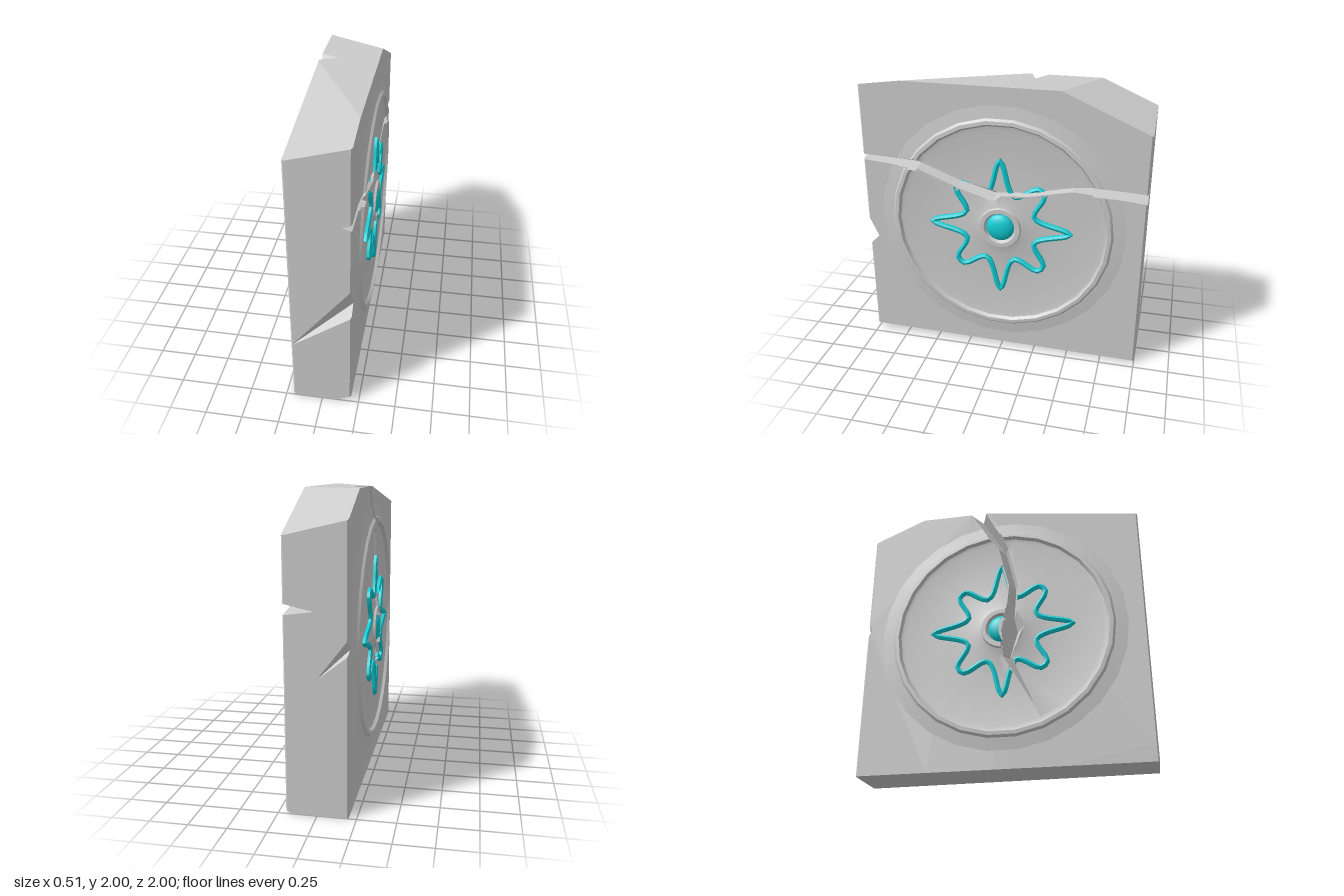
import * as THREE from 'three';
import { toCreasedNormals } from 'three/addons/utils/BufferGeometryUtils.js';

const V = (x, y, z) => new THREE.Vector3(x, y, z);
const stone = new THREE.MeshStandardMaterial({ color: 0xcccccc, side: THREE.DoubleSide });
const teal = new THREE.MeshStandardMaterial({ color: 0x10ced6, side: THREE.DoubleSide });

// ---- small polygon tools: planes point outward from the convex region they bound ----
function planeThrough(a, b, c, inside) {
  const p = new THREE.Plane().setFromCoplanarPoints(a, b, c);
  return p.distanceToPoint(inside) > 0 ? p.negate() : p;
}
const axisPlane = (nx, ny, nz, d) => new THREE.Plane(V(nx, ny, nz), -d);

function split(poly, plane) {
  const out = [], inn = [];
  poly.forEach((a, i) => {
    const b = poly[(i + 1) % poly.length];
    const da = plane.distanceToPoint(a), db = plane.distanceToPoint(b);
    if (da >= -1e-6) out.push(a);
    if (da <= 1e-6) inn.push(a);
    if ((da > 1e-6 && db < -1e-6) || (da < -1e-6 && db > 1e-6)) {
      const m = a.clone().lerp(b, da / (da - db));
      out.push(m);
      inn.push(m);
    }
  });
  return [out, inn];
}

function keepInside(poly, planes) {
  for (const p of planes) {
    poly = split(poly, p)[1];
    if (poly.length < 3) return [];
  }
  return poly;
}

// Face of a convex region lying on one of its planes
function faceOn(plane, bounds) {
  const n = plane.normal;
  const u = V(0, 1, 0).cross(n);
  if (u.length() < 0.1) u.set(1, 0, 0).cross(n);
  u.normalize();
  const v = n.clone().cross(u), o = plane.coplanarPoint(V());
  const quad = [[-5, -5], [5, -5], [5, 5], [-5, 5]]
    .map(([i, j]) => o.clone().addScaledVector(u, i).addScaledVector(v, j));
  return keepInside(quad, bounds.filter((b) => b !== plane));
}

// Cut a convex cell out of a set of polygons
function subtract(polys, cell) {
  const result = [];
  for (const poly of polys) {
    if (keepInside(poly, cell).length < 3) { result.push(poly); continue; }
    let rest = poly;
    for (const p of cell) {
      const [out, inn] = split(rest, p);
      if (out.length > 2) result.push(out);
      rest = inn;
      if (rest.length < 3) break;
    }
  }
  return result;
}

function toPolys(geometry) {
  const pos = (geometry.index ? geometry.toNonIndexed() : geometry).attributes.position;
  const polys = [];
  for (let i = 0; i < pos.count; i += 3) {
    polys.push([0, 1, 2].map((k) => V().fromBufferAttribute(pos, i + k)));
  }
  return polys;
}

function polyMesh(name, polys, material, crease) {
  const pts = [];
  for (const p of polys) {
    for (let i = 1; i < p.length - 1; i++) {
      const area = p[i].clone().sub(p[0]).cross(p[i + 1].clone().sub(p[0])).length();
      if (area > 1e-10) pts.push(p[0], p[i], p[i + 1]);
    }
  }
  const g = toCreasedNormals(new THREE.BufferGeometry().setFromPoints(pts), crease);
  const mesh = new THREE.Mesh(g, material);
  mesh.name = name;
  return mesh;
}

// ---- relief profile: radius, height from the slab's middle plane, outer rim to centre ----
const PROFILE = [[0.88, 0.201], [0.795, 0.212], [0.78, 0.228], [0.755, 0.23], [0.74, 0.208], [0.71, 0.202],
  [0.4, 0.202], [0.21, 0.205], [0.152, 0.22], [0.145, 0.235], [0.115, 0.235], [0.1, 0.21], [0.001, 0.21]];

function reliefHeight(r) {
  if (r < 0.1) return 0.21 + 0.046 * Math.sqrt(1 - (r / 0.1) ** 2);
  for (let i = 1; i < PROFILE.length; i++) {
    const [r0, h0] = PROFILE[i - 1], [r1, h1] = PROFILE[i];
    if (r <= r0 && r >= r1) return h0 + (h1 - h0) * (r0 - r) / (r0 - r1);
  }
  return 0.2;
}

// V-shaped crack: sections are [position along, lip, other lip, depth]
function crackCells(side, sections, toPoint) {
  const cells = [], steps = 6;
  const at = (i, f) => sections[i].map((v, k) => v + (sections[i + 1][k] - v) * f);
  const build = ([t, a, b, d]) => ({
    a: toPoint(side * 0.2, t, a), b: toPoint(side * 0.2, t, b),
    tip: toPoint(side * (0.2 - d), t, a + (b - a) * 0.6),
  });
  for (let i = 0; i < sections.length - 1; i++) {
    for (let s = 0; s < steps; s++) {
      const p = at(i, s / steps), q = at(i, (s + 1) / steps);
      const A = build(p), B = build(q);
      const mid = A.a.clone().add(A.b).add(B.a).add(B.b).multiplyScalar(0.25);
      const along = toPoint(0, 1, 0).sub(toPoint(0, 0, 0)).multiplyScalar(Math.sign(q[0] - p[0]));
      const planes = [
        planeThrough(A.a, B.a, A.tip, mid), planeThrough(A.b, B.b, A.tip, mid),
        new THREE.Plane().setFromNormalAndCoplanarPoint(along.clone().negate(), A.a),
        new THREE.Plane().setFromNormalAndCoplanarPoint(along, B.a),
      ];
      const top = axisPlane(side, 0, 0, reliefHeight(Math.hypot(mid.y - 1, mid.z)));
      cells.push({ planes, top });
    }
  }
  return cells;
}

function starGeometry() {
  const pts = [];
  for (let i = 0; i < 8; i++) {
    const polar = (r, deg) => {
      const a = (i * 45 + deg) * Math.PI / 180;
      pts.push(V(r * Math.sin(a), 0.213, r * Math.cos(a)));
    };
    const long = i % 2 === 0;
    polar(long ? 0.47 : 0.415, long ? -2.2 : -4.5);
    if (long) polar(0.5, 0);
    polar(long ? 0.47 : 0.415, long ? 2.2 : 4.5);
    polar(0.262, 22.5);
  }
  const curve = new THREE.CatmullRomCurve3(pts, true, 'centripetal');
  return new THREE.TubeGeometry(curve, 112, 0.019, 6, true);
}

export function createModel() {
  const group = new THREE.Group();
  const centre = V(0, 1, 0);

  // Slab: block with sloped top corners, a chipped lower edge and slim bevels
  const hull = [
    axisPlane(1, 0, 0, 0.2), axisPlane(-1, 0, 0, 0.2), axisPlane(0, 1, 0, 2),
    axisPlane(0, -1, 0, 0), axisPlane(0, 0, 1, 1), axisPlane(0, 0, -1, 1),
    planeThrough(V(-0.2, 2, -0.1), V(0.2, 2, 0.7), V(-0.2, 1.85, 1), centre),
    planeThrough(V(-0.2, 2, -0.62), V(0.2, 2, -0.4), V(0.2, 1.74, -1), centre),
    planeThrough(V(0.2, 0.045, 1), V(0.1, 0, 1), V(0.2, 0.02, -1), centre),
  ];
  for (const sx of [-1, 1]) for (const sz of [-1, 1]) {
    hull.push(planeThrough(V(sx * 0.19, 0, sz), V(sx * 0.2, 0, sz * 0.99), V(sx * 0.19, 1, sz), centre));
  }
  let slab = hull.map((p) => faceOn(p, hull)).filter((p) => p.length > 2);
  const walls = [];

  // Wedge notches in the front and back edges: apex, upper, deepest and lower points
  const notches = [
    [V(-0.2, 0.46, 1), V(0.2, 0.97, 1), V(0.2, 0.82, 0.93), V(0.2, 0.75, 1)],
    [V(0, 0.88, -1), V(-0.2, 1.14, -1), V(-0.2, 1.07, -0.97), V(-0.2, 1.04, -1)],
  ];
  for (const [apex, up, deep, low] of notches) {
    const mid = up.clone().lerp(low, 0.5);
    const cell = [planeThrough(apex, up, deep, mid), planeThrough(apex, low, deep, mid)];
    slab = subtract(slab, cell);
    cell.forEach((p) => walls.push(faceOn(p, [...cell, ...hull]).reverse()));
  }

  // Cracks: one across the left face, one down the right face
  const across = [[1.02, 1.46, 1.42, 0.06], [0.6, 1.445, 1.385, 0.08], [0.3, 1.33, 1.265, 0.08],
    [0.05, 1.272, 1.19, 0.08], [0, 1.262, 1.235, 0.08], [-0.2, 1.28, 1.25, 0.08],
    [-0.5, 1.345, 1.315, 0.1], [-0.64, 1.36, 1.305, 0.13], [-1.02, 1.34, 1.27, 0.2]];
  const down = [[2.02, -0.26, -0.14, 0.13], [1.67, -0.03, 0.04, 0.09], [1.35, 0.05, 0.11, 0.08],
    [1.12, 0.03, 0.1, 0.08], [1, 0.03, 0.14, 0.08], [0.79, 0.01, 0.06, 0.06], [0.45, 0.205, 0.21, 0.01]];
  const cracks = {
    left: crackCells(1, across, (x, t, v) => V(x, v, t)),
    right: crackCells(-1, down, (x, t, v) => V(x, t, v)),
  };

  for (const [label, side] of [['left', 1], ['right', -1]]) {
    const cells = cracks[label];
    for (const { planes, top } of cells) {
      slab = subtract(slab, planes);
      const bounds = [...planes, ...hull.slice(2, 9), top];
      planes.slice(0, 2).forEach((p) => walls.push(faceOn(p, bounds).reverse()));
    }
    // Raised ring, star and gem, each broken by the crack
    const place = (name, geometry, material, crease) => {
      geometry.rotateZ(-side * Math.PI / 2).translate(0, 1, 0);
      const polys = cells.reduce((list, c) => subtract(list, c.planes), toPolys(geometry));
      group.add(polyMesh(label + name, polys, material, crease));
    };
    place('RingRelief', new THREE.LatheGeometry(PROFILE.map(([r, h]) => new THREE.Vector2(r, h)), 26), stone, 0.4);
    place('Star', starGeometry(), teal, 0.5);
    const gem = new THREE.SphereGeometry(0.1, 20, 8, 0, Math.PI * 2, 0, Math.PI / 2);
    place('Gem', gem.scale(1, 0.46, 1).translate(0, 0.21, 0), teal, 0.6);
  }

  group.add(polyMesh('slab', slab, stone, 0.1));
  group.add(polyMesh('crackWalls', walls.filter((p) => p.length > 2), stone, 0.2));
  return group;
}
